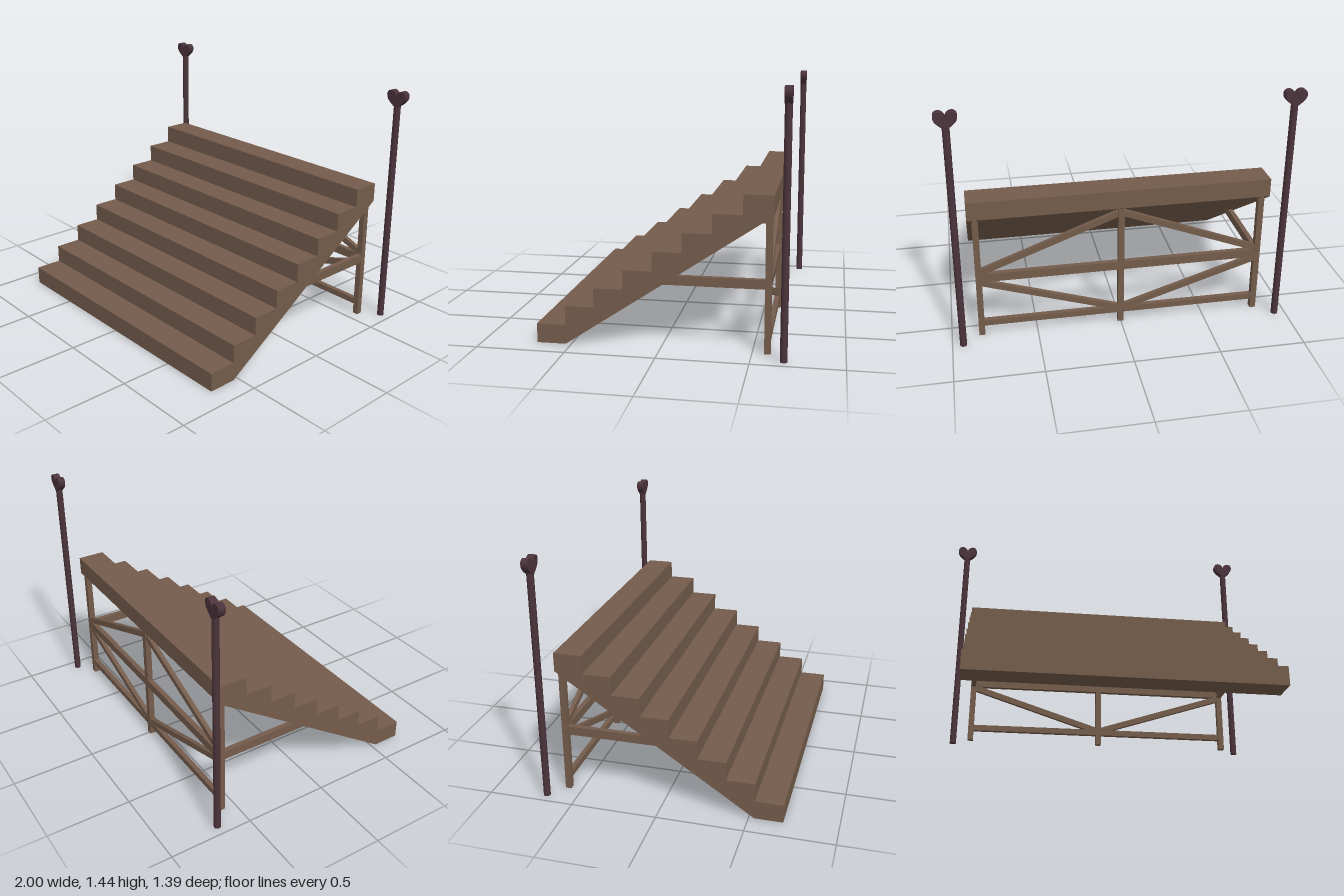
import * as THREE from 'three';

export function createModel() {
  const group = new THREE.Group();
  const wood = new THREE.MeshStandardMaterial({ name: 'brown wood', color: 0x745c4b });
  const iron = new THREE.MeshStandardMaterial({ name: 'dark plum', color: 0x4b343b });

  const add = (name, geometry, material, x = 0, y = 0, z = 0) => {
    const mesh = new THREE.Mesh(geometry, material);
    mesh.name = name;
    mesh.position.set(x, y, z);
    group.add(mesh);
    return mesh;
  };

  // Staircase: side profile (z, y) with a sloping underside, extruded across x
  const steps = 8, front = 0.695, back = -0.61, top = 0.873, halfWidth = 0.87;
  const run = (front - back) / steps, rise = top / steps;
  const profile = new THREE.Shape();
  profile.moveTo(front, 0);
  for (let i = 0; i < steps; i++) {
    profile.lineTo(front - i * run, (i + 1) * rise);
    profile.lineTo(front - (i + 1) * run, (i + 1) * rise);
  }
  profile.lineTo(back, top - rise);
  profile.lineTo(front - run, 0);
  profile.closePath();
  const stairs = new THREE.ExtrudeGeometry(profile, { depth: halfWidth * 2, bevelEnabled: false });
  stairs.rotateY(-Math.PI / 2);
  add('stairs', stairs, wood, halfWidth);

  // Rear supporting frame: three posts and two rails
  const frameZ = -0.583, postX = 0.825, postW = 0.035, railY = 0.384;
  for (const x of [-postX, 0, postX]) {
    add('framePost', new THREE.BoxGeometry(postW, 0.755, postW), wood, x, 0.3775, frameZ);
  }
  add('middleRail', new THREE.BoxGeometry(postX * 2, 0.052, 0.03), wood, 0, railY, frameZ);
  add('lowerRail', new THREE.BoxGeometry(postX * 2, 0.036, 0.03), wood, 0, 0.08, frameZ);

  // Diagonal braces forming a diamond, and side beams running into the slope
  const brace = (x0, y0, x1, y1) => {
    const length = Math.hypot(x1 - x0, y1 - y0);
    const mesh = add('diagonalBrace', new THREE.BoxGeometry(length, 0.036, 0.026), wood,
      (x0 + x1) / 2, (y0 + y1) / 2, frameZ);
    mesh.rotation.z = Math.atan2(y1 - y0, x1 - x0);
  };
  for (const side of [-1, 1]) {
    brace(side * postX, railY + 0.03, 0, 0.73);
    brace(side * postX, railY - 0.03, 0, 0.09);
    add('sideBeam', new THREE.BoxGeometry(0.03, 0.052, 0.58), wood, side * postX, railY, -0.29);
  }

  // Heart finial outline, centred on the pole
  const heart = new THREE.Shape();
  heart.moveTo(0, 1.335);
  heart.bezierCurveTo(0.02, 1.36, 0.063, 1.375, 0.063, 1.412);
  heart.bezierCurveTo(0.063, 1.447, 0.014, 1.452, 0, 1.412);
  heart.bezierCurveTo(-0.014, 1.452, -0.063, 1.447, -0.063, 1.412);
  heart.bezierCurveTo(-0.063, 1.375, -0.02, 1.36, 0, 1.335);
  const heartGeometry = new THREE.ExtrudeGeometry(heart, { depth: 0.04, bevelEnabled: false, curveSegments: 8 });

  // Round poles beside the back corners, each topped with a heart
  for (const side of [-1, 1]) {
    const x = side * 0.937, z = -0.676;
    add('pole', new THREE.CylinderGeometry(0.02, 0.02, 1.37, 16), iron, x, 0.685, z);
    add('heartFinial', heartGeometry, iron, x, 0, z - 0.02);
  }

  return group;
}
